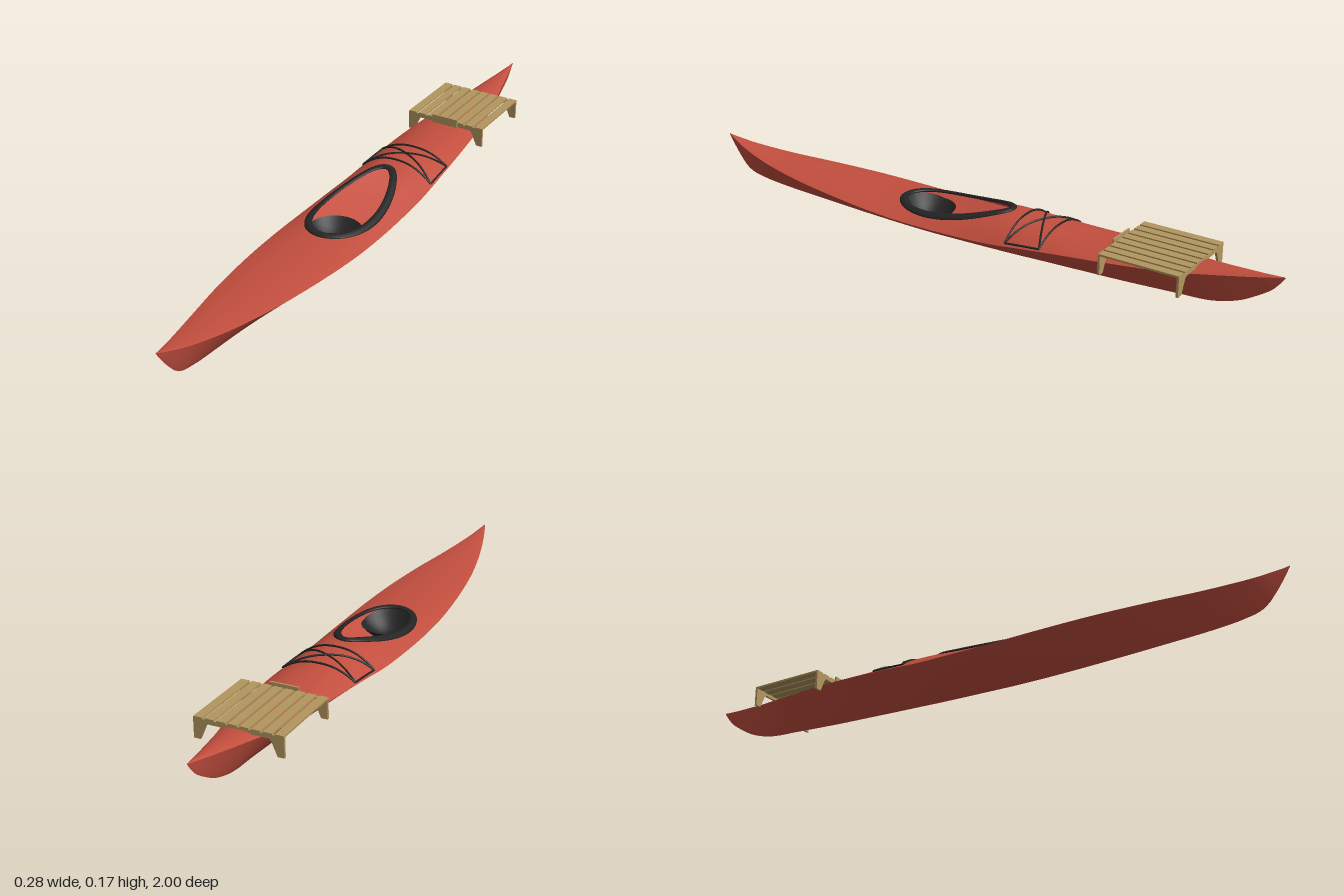
import * as THREE from 'three';

const mat = (name, color) => Object.assign(new THREE.MeshStandardMaterial({ color, side: THREE.DoubleSide }), { name });

// Hull lines: z, half width, gunwale y, deck ridge y, keel y
const LINES = [
  [-1, 0, 0.167, 0.168, 0.166], [-0.97, 0.007, 0.162, 0.165, 0.127], [-0.93, 0.016, 0.156, 0.161, 0.097],
  [-0.87, 0.03, 0.148, 0.156, 0.063], [-0.79, 0.048, 0.138, 0.15, 0.04], [-0.69, 0.073, 0.128, 0.144, 0.033],
  [-0.52, 0.1, 0.118, 0.14, 0.023], [-0.4, 0.113, 0.111, 0.14, 0.018], [-0.25, 0.124, 0.099, 0.147, 0.012],
  [-0.13, 0.131, 0.088, 0.15, 0.008], [0, 0.136, 0.084, 0.134, 0.005], [0.14, 0.138, 0.083, 0.116, 0.002],
  [0.28, 0.135, 0.086, 0.106, 0.002], [0.45, 0.121, 0.093, 0.107, 0.005], [0.62, 0.097, 0.1, 0.11, 0.011],
  [0.76, 0.068, 0.108, 0.115, 0.017], [0.86, 0.043, 0.119, 0.123, 0.027], [0.92, 0.026, 0.129, 0.132, 0.045],
  [0.965, 0.012, 0.14, 0.142, 0.095], [1, 0, 0.15, 0.151, 0.149],
];

// Smooth interpolation of the hull lines at z
function lines(z) {
  const n = LINES.length;
  let i = 0;
  while (i < n - 2 && z > LINES[i + 1][0]) i++;
  const slope = (k, c) => {
    const a = LINES[Math.max(k - 1, 0)], b = LINES[Math.min(k + 1, n - 1)];
    return (b[c] - a[c]) / (b[0] - a[0]);
  };
  const A = LINES[i], B = LINES[i + 1], h = B[0] - A[0], t = (z - A[0]) / h;
  const [w, gun, ridge, keel] = [1, 2, 3, 4].map(c =>
    A[c] * (1 + 2 * t) * (1 - t) ** 2 + B[c] * t * t * (3 - 2 * t) +
    h * (slope(i, c) * t * (1 - t) ** 2 + slope(i + 1, c) * t * t * (t - 1)));
  return { w: Math.max(w, 0), gun, ridge, keel };
}

function deckY(x, z) {
  const { w, gun, ridge } = lines(z);
  const u = w > 1e-4 ? Math.min(Math.abs(x) / w, 1) : 0;
  return gun + (ridge - gun) * (1 - u ** 2.3);
}

// Egg-shaped cockpit outline
const eggZ = t => 0.058 + 0.192 * Math.cos(t);
const eggX = t => 0.09 * Math.sin(t) * (1 + 0.25 * Math.cos(t));
function holeX(z) {
  const c = (z - 0.058) / 0.192;
  return Math.abs(c) < 1 ? eggX(Math.acos(c)) : 0;
}

// Surface through rows of points
function surface(rows, flip) {
  const m = rows[0].length, index = [];
  for (let i = 0; i < rows.length - 1; i++) for (let j = 0; j < m - 1; j++) {
    const a = i * m + j, b = a + 1, c = a + m, d = c + 1;
    if (flip) index.push(a, b, c, b, d, c);
    else index.push(a, c, b, b, c, d);
  }
  const g = new THREE.BufferGeometry();
  g.setAttribute('position', new THREE.Float32BufferAttribute(rows.flat(2), 3));
  g.setIndex(index);
  g.computeVertexNormals();
  return g;
}

export function createModel() {
  const root = new THREE.Group();
  root.name = 'kayak';
  const red = mat('hullRed', 0xc24e3e), black = mat('trimBlack', 0x242424), tan = mat('slatTan', 0xb2965f);
  const add = (name, geometry, material, parent = root) => {
    const m = new THREE.Mesh(geometry, material);
    m.name = name;
    parent.add(m);
    return m;
  };

  // Hull and deck in three sections, each mirrored left and right
  const range = (a, b, n) => Array.from({ length: n + 1 }, (_, i) => a + (b - a) * i / n);
  const sections = {
    stern: range(-1, -0.4, 40),
    middle: [...range(-0.4, -0.15, 8), ...range(Math.PI, 0, 40).map(eggZ), 0.265, 0.28],
    bow: range(0.28, 1, 44),
  };
  for (const [name, zs] of Object.entries(sections)) {
    const group = new THREE.Group();
    group.name = name + 'Section';
    root.add(group);
    for (const s of [1, -1]) {
      const side = s > 0 ? 'Left' : 'Right';
      const bottom = zs.map(z => {
        const { w, gun, keel } = lines(z);
        return range(0, 1, 10).map(u => [s * w * u, keel + (gun - keel) * u ** 1.12, z]);
      });
      const deck = zs.map(z => {
        const inner = holeX(z), { w } = lines(z);
        return range(0, 1, 12).map(u => {
          const x = inner + (w - inner) * u;
          return [s * x, deckY(x, z), z];
        });
      });
      add('hull' + side, surface(bottom, s > 0), red, group);
      add('deck' + side, surface(deck, s < 0), red, group);
    }
  }

  // Cockpit rim: a flattened ring laid over the curved deck
  const loop = range(0, Math.PI * 2, 48).slice(0, -1).map(t => new THREE.Vector3(eggX(t), 0, eggZ(t)));
  const rim = new THREE.TubeGeometry(new THREE.CatmullRomCurve3(loop, true), 96, 0.012, 10, true);
  rim.scale(1, 0.45, 1);
  const p = rim.attributes.position;
  for (let i = 0; i < p.count; i++) p.setY(i, p.getY(i) + 0.003 + deckY(p.getX(i), p.getZ(i)));
  rim.computeVertexNormals();
  add('cockpitRim', rim, black);

  // Bowl seat, raised at the back
  const seat = range(0, 1, 8).map(r => range(0, Math.PI * 2, 32).map(a => [
    0.084 * r * Math.sin(a),
    0.036 + 0.048 * r * r + 0.02 * r ** 3 * Math.max(0, Math.cos(a)),
    0.17 + 0.083 * r * Math.cos(a),
  ]));
  add('seat', surface(seat, false), black);

  // Deck cords: two across, two crossed, two along the sides
  const cords = new THREE.Group();
  cords.name = 'deckCords';
  root.add(cords);
  const [zA, zB, xA, xB] = [-0.19, -0.303, 0.122, 0.116];
  [[-xA, zA, xA, zA], [-xB, zB, xB, zB], [-xA, zA, xB, zB], [xA, zA, -xB, zB], [xA, zA, xB, zB], [-xA, zA, -xB, zB]]
    .forEach(([x0, z0, x1, z1]) => {
      const pts = range(0, 1, 16).map(t => {
        const x = x0 + (x1 - x0) * t, z = z0 + (z1 - z0) * t;
        return new THREE.Vector3(x, deckY(x, z) + 0.003, z);
      });
      add('cord', new THREE.TubeGeometry(new THREE.CatmullRomCurve3(pts), 32, 0.003, 6), black, cords);
    });

  // Slatted rack
  const rack = new THREE.Group();
  rack.name = 'slatRack';
  root.add(rack);
  for (let i = 0; i < 8; i++) {
    add('slat', new THREE.BoxGeometry(0.027, 0.006, 0.25), tan, rack).position.set((i - 3.5) * 0.0345, 0.154, -0.63);
  }
  // End boards with tapered legs
  const half = [[0.135, 0.153], [0.135, 0.093], [0.115, 0.093], [0.097, 0.135], [0.09, 0.141]];
  const outline = [...half, ...half.map(([x, y]) => [-x, y]).reverse()];
  const board = new THREE.ExtrudeGeometry(new THREE.Shape(outline.map(q => new THREE.Vector2(...q))),
    { depth: 0.007, bevelEnabled: false });
  for (const z of [-0.755, -0.512]) add('endBoard', board, tan, rack).position.z = z;
  // Raised centre plate
  add('centrePlate', new THREE.BoxGeometry(0.09, 0.027, 0.006), tan, rack).position.set(0, 0.1535, -0.503);

  return root;
}
